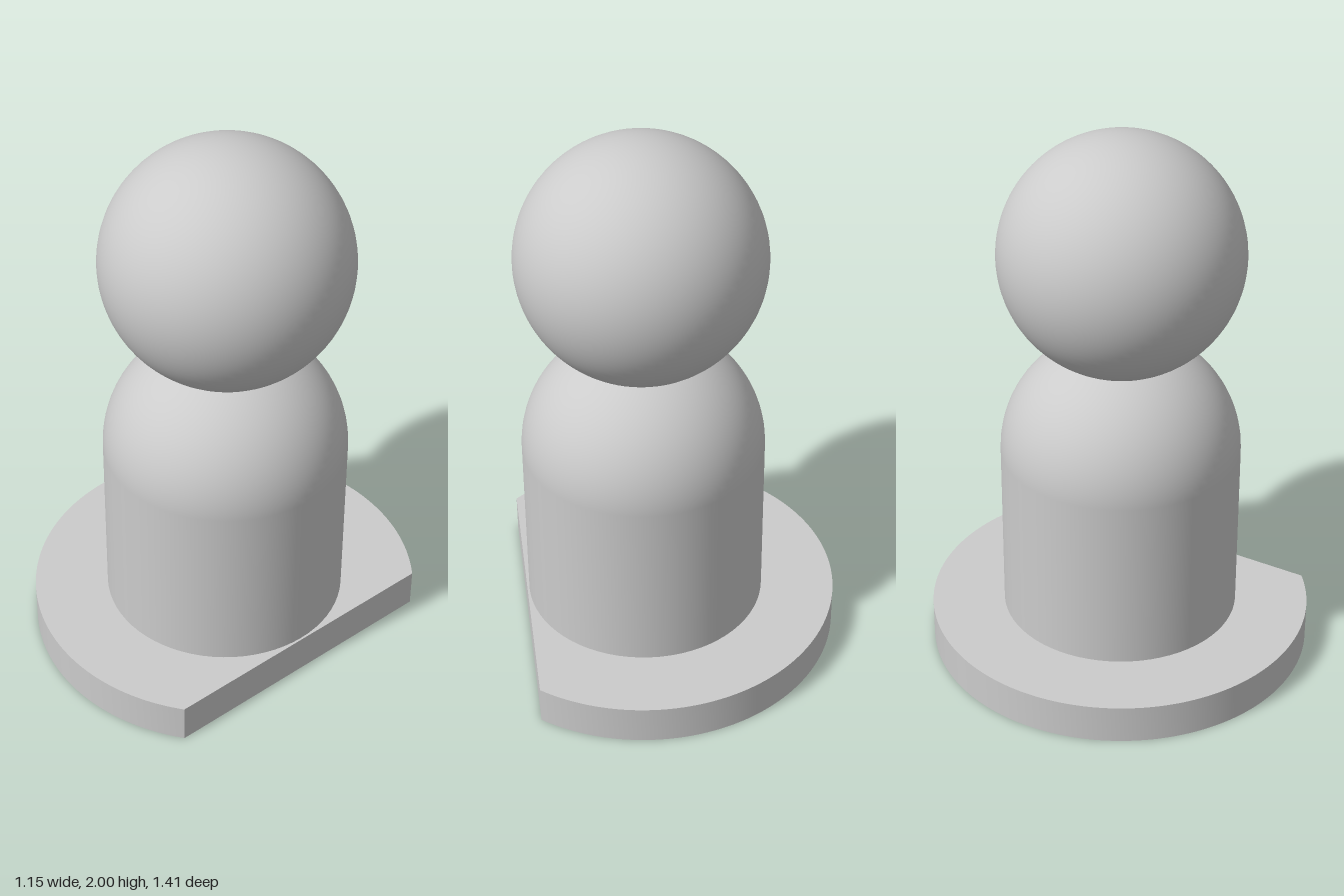
import * as THREE from 'three';
import { toCreasedNormals } from 'three/addons/utils/BufferGeometryUtils.js';

const CENTRE_X = -0.145; // shared axis of base disc, body and head
const BASE_R = 0.705, BASE_H = 0.145;
const R = 0.436; // body and head radius
const SHOULDER_Y = 0.795, HEAD_Y = 2 - R;

export function createModel() {
  const group = new THREE.Group();
  const material = new THREE.MeshStandardMaterial({ color: 0xcccccc });

  function add(name, geometry, y) {
    const mesh = new THREE.Mesh(geometry, material);
    mesh.name = name;
    mesh.position.set(CENTRE_X, y, 0);
    group.add(mesh);
  }

  // Teardrop base: a disc whose tangents meet in a right-angled point at +x
  const start = THREE.MathUtils.degToRad(51);
  const outline = new THREE.Shape();
  outline.moveTo(BASE_R * Math.SQRT2, 0);
  outline.absarc(0, 0, BASE_R, start, Math.PI * 2 - start, false);
  outline.closePath();
  const base = new THREE.ExtrudeGeometry(outline, { depth: BASE_H, bevelEnabled: false, curveSegments: 72 });
  base.rotateX(-Math.PI / 2);
  add('base', toCreasedNormals(base, 0.15), 0);

  // Body: cylinder with a hemispherical shoulder, its crown inside the head
  const bodyHeight = SHOULDER_Y - BASE_H;
  add('body', new THREE.CylinderGeometry(R, R, bodyHeight, 72, 1, true), BASE_H + bodyHeight / 2);
  add('shoulders', new THREE.SphereGeometry(R, 72, 24, 0, Math.PI * 2, 0, Math.PI / 2), SHOULDER_Y);

  // Head
  add('head', new THREE.SphereGeometry(R, 72, 48), HEAD_Y);

  return group;
}
